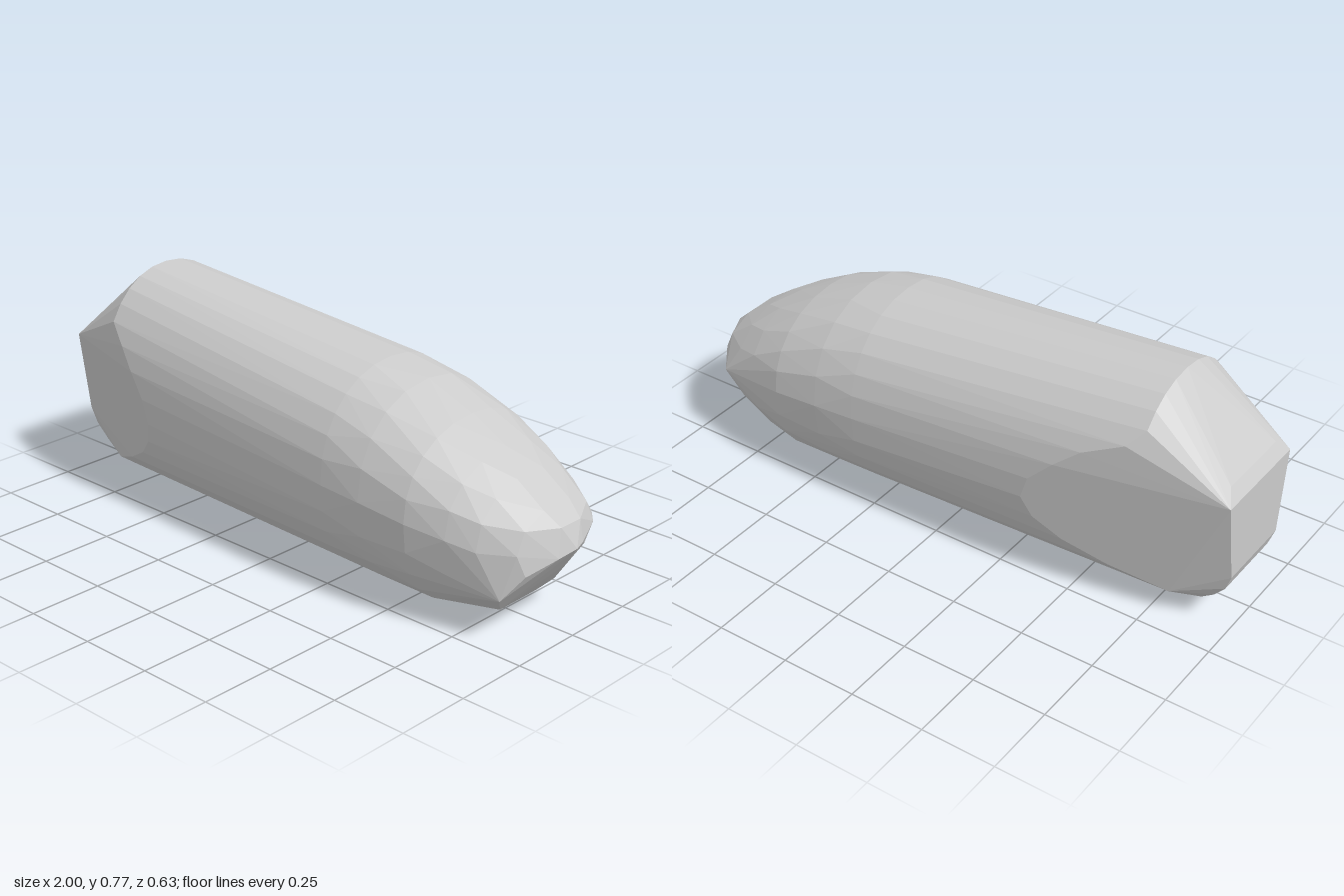
import * as THREE from 'three';
import { ConvexGeometry } from 'three/addons/geometries/ConvexGeometry.js';

// Egg-shaped cross-section at station x, widest at height mid
function ring(x, bottom, top, halfWidth, mid, count) {
  const points = [];
  const bulge = (v) => Math.sign(v) * Math.abs(v) ** 0.92;
  for (let i = 0; i < count; i++) {
    const a = (i / count) * Math.PI * 2;
    const s = bulge(Math.sin(a));
    const y = mid + s * (s > 0 ? top - mid : mid - bottom);
    points.push(new THREE.Vector3(x, y, halfWidth * bulge(Math.cos(a))));
  }
  return points;
}

export function createModel() {
  const points = [];

  // Tail ring, slid forward onto the side cuts, which narrow downwards;
  // the cut on the rear side is shallower and reaches further forward
  for (const p of ring(0, 0.03, 0.772, 0.298, 0.4, 32)) {
    const front = p.z > 0;
    if (front) p.z *= 0.95;
    const narrowing = 0.13 * Math.max(0, 0.49 - p.y);
    const edge = (front ? 0.17 : 0.19) - narrowing;
    const sideCut = -1 + (Math.abs(p.z) - edge) * (front ? 3.6 : 5.2);
    p.x = Math.max(p.y > 0.4 ? -0.73 : -0.81, sideCut);
    points.push(p);
  }

  // Flat tail end with a rounded lower edge: x, y, front z, rear z
  const tail = [
    [-0.97, 0.53, 0.13, -0.14], [-1, 0.49, 0.17, -0.19], [-1, 0.21, 0.13, -0.145],
    [-0.98, 0.155, 0.122, -0.137], [-0.94, 0.105, 0.113, -0.125],
    [-0.89, 0.062, 0.1, -0.11],
  ];
  for (const [x, y, zFront, zRear] of tail) {
    points.push(new THREE.Vector3(x, y, zFront), new THREE.Vector3(x, y, zRear));
  }

  // Tapering nose: x, bottom, top, half width, widest height, point count
  const nose = [
    [0.28, 0.008, 0.688, 0.313, 0.36, 28],
    [0.43, 0.005, 0.656, 0.313, 0.35, 20],
    [0.6, 0, 0.59, 0.302, 0.33, 24],
    [0.73, 0.024, 0.522, 0.272, 0.31, 16],
    [0.82, 0.06, 0.468, 0.24, 0.29, 14],
    [0.92, 0.177, 0.4, 0.178, 0.29, 10],
  ];
  for (const station of nose) points.push(...ring(...station));

  // Blunt tip, tilted ridge below it, and the rim of the flat underside
  const tip = [
    [0.97, 0.35, 0.04], [0.97, 0.35, -0.05],
    [0.94, 0.225, 0.16], [0.985, 0.265, 0.065], [1, 0.28, 0],
    [0.99, 0.285, -0.04], [0.945, 0.3, -0.15], [0.875, 0.28, -0.24],
    [0.885, 0.145, 0.205], [0.83, 0.072, 0.13], [0.83, 0.08, -0.13],
  ];
  for (const p of tip) points.push(new THREE.Vector3(...p));

  const material = new THREE.MeshStandardMaterial({ color: 0xcccccc, flatShading: true });
  const body = new THREE.Mesh(new ConvexGeometry(points), material);
  body.name = 'body';

  const model = new THREE.Group();
  model.name = 'facetedCapsule';
  model.add(body);
  return model;
}
